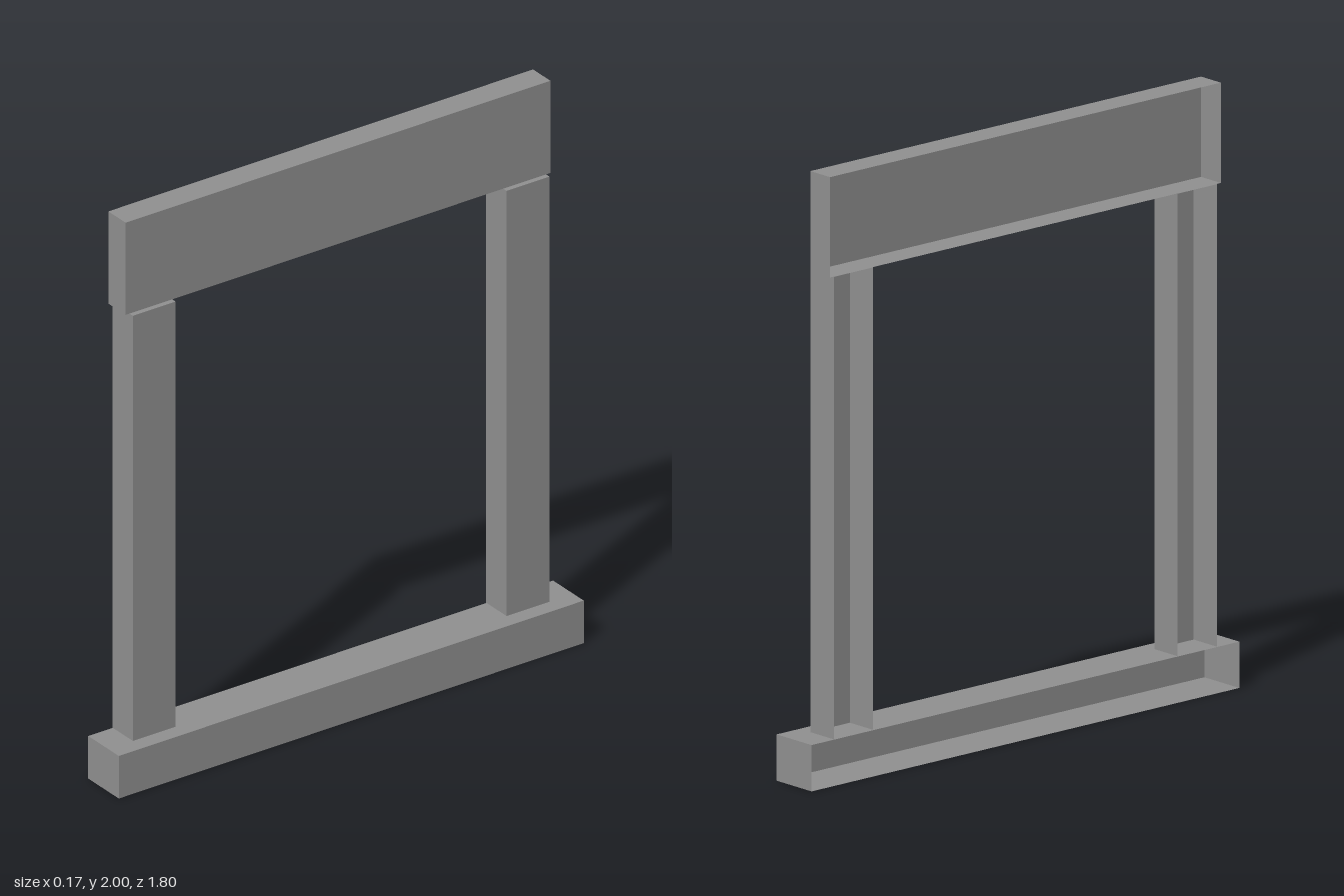
import * as THREE from 'three';

// Window surround: sill, two jambs and a lintel, each an open-backed box whose wall side (-x) is missing
export function createModel() {
  const group = new THREE.Group();
  group.name = 'windowSurround';

  const stone = new THREE.MeshStandardMaterial({ color: 0x909090, side: THREE.DoubleSide });
  stone.name = 'grey stone';

  const back = -0.083;

  // Box reaching from the wall plane to x = front, without its wall-side face
  function openBox(name, front, y0, y1, z0, z1) {
    const geo = new THREE.BoxGeometry(front - back, y1 - y0, z1 - z0);
    const index = Array.from(geo.index.array);
    index.splice(6, 6); // the -x face
    geo.setIndex(index);
    geo.clearGroups();
    const mesh = new THREE.Mesh(geo, stone);
    mesh.name = name;
    mesh.position.set((front + back) / 2, (y0 + y1) / 2, (z0 + z1) / 2);
    group.add(mesh);
  }

  openBox('sill', 0.083, 0, 0.152, -0.902, 0.902);
  openBox('frontJamb', 0.028, 0.153, 1.67, 0.642, 0.808);
  openBox('rearJamb', 0.028, 0.153, 1.67, -0.808, -0.642);
  openBox('lintel', 0.011, 1.671, 2, -0.824, 0.824);

  return group;
}
